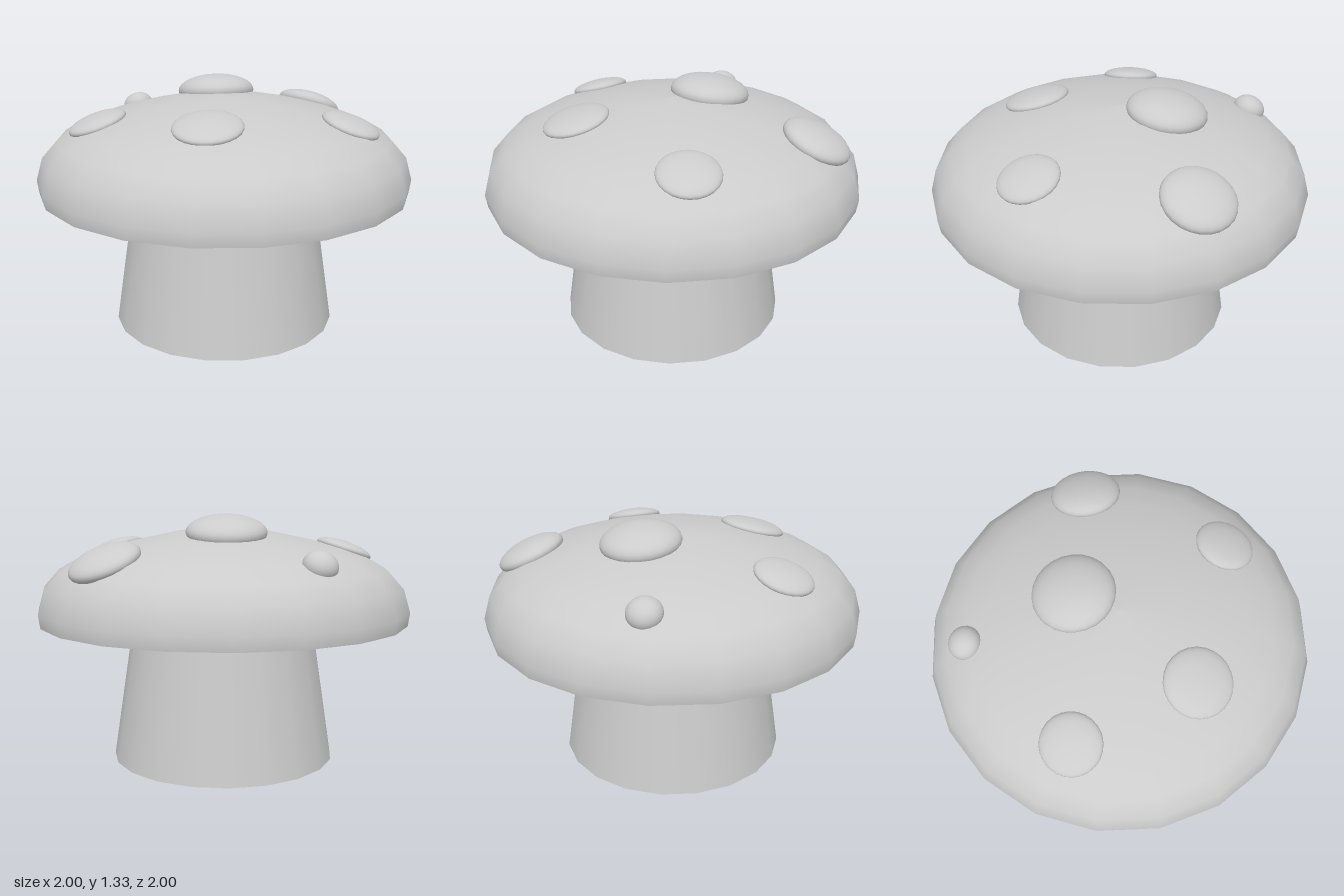
import * as THREE from 'three';

const SIDES = 20;
const material = new THREE.MeshStandardMaterial({ color: 0xcccccc });

// Outer cap profile as [radius, height], rim to crown
const CAP = [[0.99, 0.75], [1, 0.82], [0.965, 0.94], [0.885, 1.03], [0.78, 1.09],
  [0.65, 1.137], [0.49, 1.182], [0.25, 1.233], [0, 1.25]];
// Hollow underside, centre to rim
const UNDERSIDE = [[0, 0.9], [0.45, 0.9], [0.78, 0.865], [0.99, 0.75]];

// Spots: x, z, radius, thickness
const SPOTS = [
  [-0.08, -0.23, 0.21, 0.09],
  [0.42, -0.63, 0.185, 0.07],
  [-0.6, -0.49, 0.087, 0.07],
  [-0.62, 0.26, 0.155, 0.045],
  [0, 0.51, 0.175, 0.045],
  [0.67, 0.12, 0.155, 0.045],
];

function addMesh(parent, name, geometry) {
  const mesh = new THREE.Mesh(geometry, material);
  mesh.name = name;
  parent.add(mesh);
  return mesh;
}

function lathe(profile) {
  return new THREE.LatheGeometry(profile.map(([r, y]) => new THREE.Vector2(r, y)), SIDES);
}

// Height of the cap surface at a distance from the axis
function capHeight(r) {
  for (let i = CAP.length - 1; i > 1; i--) {
    const [r0, y0] = CAP[i], [r1, y1] = CAP[i - 1];
    if (r <= r1) return y0 + (y1 - y0) * (r - r0) / (r1 - r0);
  }
  return CAP[1][1];
}

export function createModel() {
  const group = new THREE.Group();
  group.name = 'mushroom';

  // Tapered stem reaching the hollow of the cap
  const stem = addMesh(group, 'stem', new THREE.CylinderGeometry(0.467, 0.605, 0.9, SIDES));
  stem.position.y = 0.45;

  // Cap dome and hollow underside
  const cap = new THREE.Group();
  cap.name = 'cap';
  group.add(cap);
  addMesh(cap, 'capDome', lathe(CAP));
  addMesh(cap, 'capUnderside', lathe(UNDERSIDE));

  // Flattened round spots lying along the cap surface
  const spots = new THREE.Group();
  spots.name = 'spots';
  group.add(spots);
  const up = new THREE.Vector3(0, 1, 0);
  SPOTS.forEach(([x, z, radius, thickness], i) => {
    const r = Math.hypot(x, z);
    const slope = (capHeight(r - 0.12) - capHeight(r + 0.12)) / 0.24;
    const normal = new THREE.Vector3(x / r * slope, 1, z / r * slope).normalize();
    const spot = addMesh(spots, `spot${i + 1}`, new THREE.SphereGeometry(1, 24, 16));
    spot.scale.set(radius, thickness, radius);
    spot.quaternion.setFromUnitVectors(up, normal);
    spot.position.set(x, capHeight(r), z);
  });

  return group;
}
